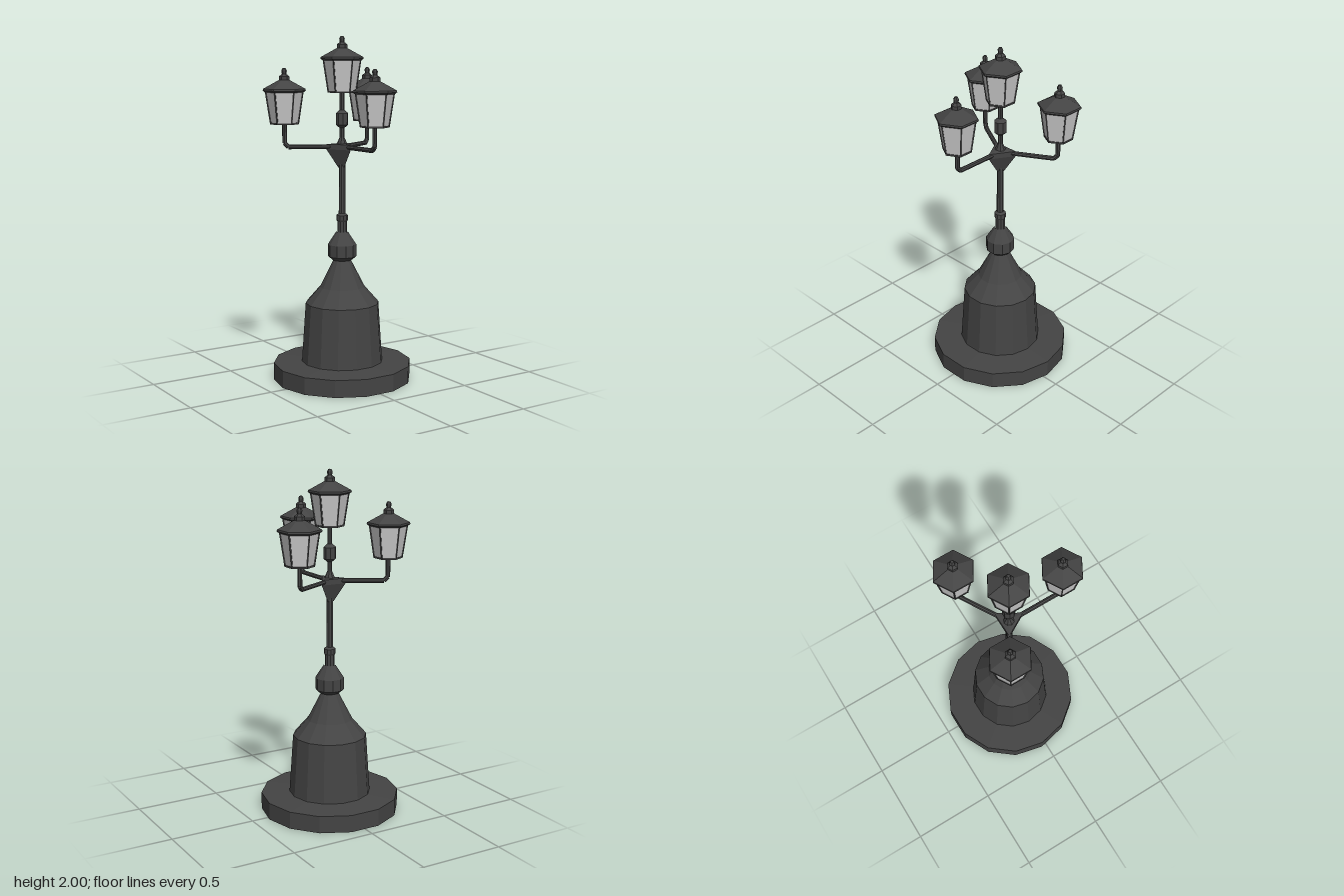
import * as THREE from 'three';

const iron = new THREE.MeshStandardMaterial({ color: 0x444444, flatShading: true });
const glass = new THREE.MeshStandardMaterial({ color: 0xcccccc, flatShading: true });
const ARM = 0.33; // reach of each arm from the post

// Faceted turned part from [radius, height] pairs, listed bottom to top
function turned(name, profile, sides, phiStart = 0, material = iron) {
  const points = profile.map(([r, y]) => new THREE.Vector2(r, y));
  const mesh = new THREE.Mesh(new THREE.LatheGeometry(points, sides, phiStart), material);
  mesh.name = name;
  return mesh;
}

// Straight round bar between two points
function bar(name, a, b, radius, sides = 6) {
  const dir = b.clone().sub(a);
  const mesh = new THREE.Mesh(new THREE.CylinderGeometry(radius, radius, dir.length(), sides), iron);
  mesh.position.copy(a).add(b).multiplyScalar(0.5);
  mesh.quaternion.setFromUnitVectors(new THREE.Vector3(0, 1, 0), dir.normalize());
  mesh.name = name;
  return mesh;
}

// Six-sided lantern standing on its own y = 0
function createLantern() {
  const g = new THREE.Group();
  g.name = 'lantern';
  g.add(turned('lanternGlass', [[0.078, 0.008], [0.106, 0.19]], 6, 0, glass));
  g.add(turned('lanternFloor', [[0, 0], [0.082, 0], [0.083, 0.01], [0, 0.01]], 6));
  g.add(turned('lanternRoof', [[0, 0.182], [0.11, 0.182], [0.123, 0.192], [0.121, 0.202], [0.03, 0.252]], 6));
  g.add(turned('lanternFinial', [[0.03, 0.25], [0.03, 0.272], [0.013, 0.286], [0.016, 0.305], [0.009, 0.318], [0, 0.32]], 6));
  for (let i = 0; i < 6; i++) {
    const a = (i * Math.PI) / 3;
    const at = (r, y) => new THREE.Vector3(r * Math.sin(a), y, r * Math.cos(a));
    g.add(bar('lanternFrameBar', at(0.079, 0.004), at(0.107, 0.19), 0.005, 4));
  }
  return g;
}

// Arm pointing to +z with a bevelled elbow and its lantern
function createArm() {
  const g = new THREE.Group();
  g.name = 'arm';
  const path = new THREE.CurvePath();
  const p = [[0, 1.37], [ARM - 0.022, 1.37], [ARM, 1.392], [ARM, 1.505]].map(([z, y]) => new THREE.Vector3(0, y, z));
  for (let i = 0; i < 3; i++) path.add(new THREE.LineCurve3(p[i], p[i + 1]));
  for (let i = 0; i < 3; i++) g.add(bar('armTube', p[i], p[i + 1], 0.0135, 8));
  return g;
}

export function createModel() {
  const model = new THREE.Group();
  model.name = 'streetLamp';
  const lamp = new THREE.Group();
  lamp.name = 'lamp';
  lamp.position.z = -0.03;
  model.add(lamp);

  // Plinth and pedestal share fourteen sides with a corner on +x
  const corner = Math.PI / 2;
  lamp.add(turned('plinth', [[0, 0], [0.405, 0], [0.405, 0.1], [0.24, 0.108]], 14, corner));
  lamp.add(turned('pedestal', [[0.24, 0.1], [0.238, 0.115], [0.215, 0.455], [0.132, 0.55], [0.05, 0.71]], 14, corner));

  // Collars and post
  lamp.add(turned('lowerCollar', [[0.045, 0.705], [0.06, 0.71], [0.083, 0.73], [0.083, 0.8], [0.034, 0.875]], 10, corner));
  lamp.add(turned('postSleeve', [[0.028, 0.865], [0.028, 0.935], [0.034, 0.945], [0.034, 0.972], [0.02, 0.983]], 10, corner));
  lamp.add(turned('post', [[0.02, 0.96], [0.019, 1.38]], 8));
  lamp.add(turned('upperPost', [[0.014, 1.38], [0.014, 1.685]], 8));
  lamp.add(turned('upperKnob', [[0.014, 1.478], [0.036, 1.496], [0.036, 1.562], [0.014, 1.582]], 8, Math.PI / 8));

  // Three-cornered hub with its corners under the arms
  lamp.add(turned('hub', [[0, 1.25], [0.022, 1.25], [0.09, 1.355], [0.09, 1.385], [0.03, 1.39]], 3));
  lamp.add(turned('hubCap', [[0.032, 1.385], [0.014, 1.425]], 8));

  // Three arms evenly around the post, the lanterns all facing the same way
  for (let i = 0; i < 3; i++) {
    const a = (i * Math.PI * 2) / 3;
    const arm = createArm();
    arm.rotation.y = a;
    const lantern = createLantern();
    lantern.position.set(ARM * Math.sin(a), 1.5, ARM * Math.cos(a));
    lamp.add(arm, lantern);
  }
  const topLantern = createLantern();
  topLantern.position.y = 1.68;
  lamp.add(topLantern);
  return model;
}
